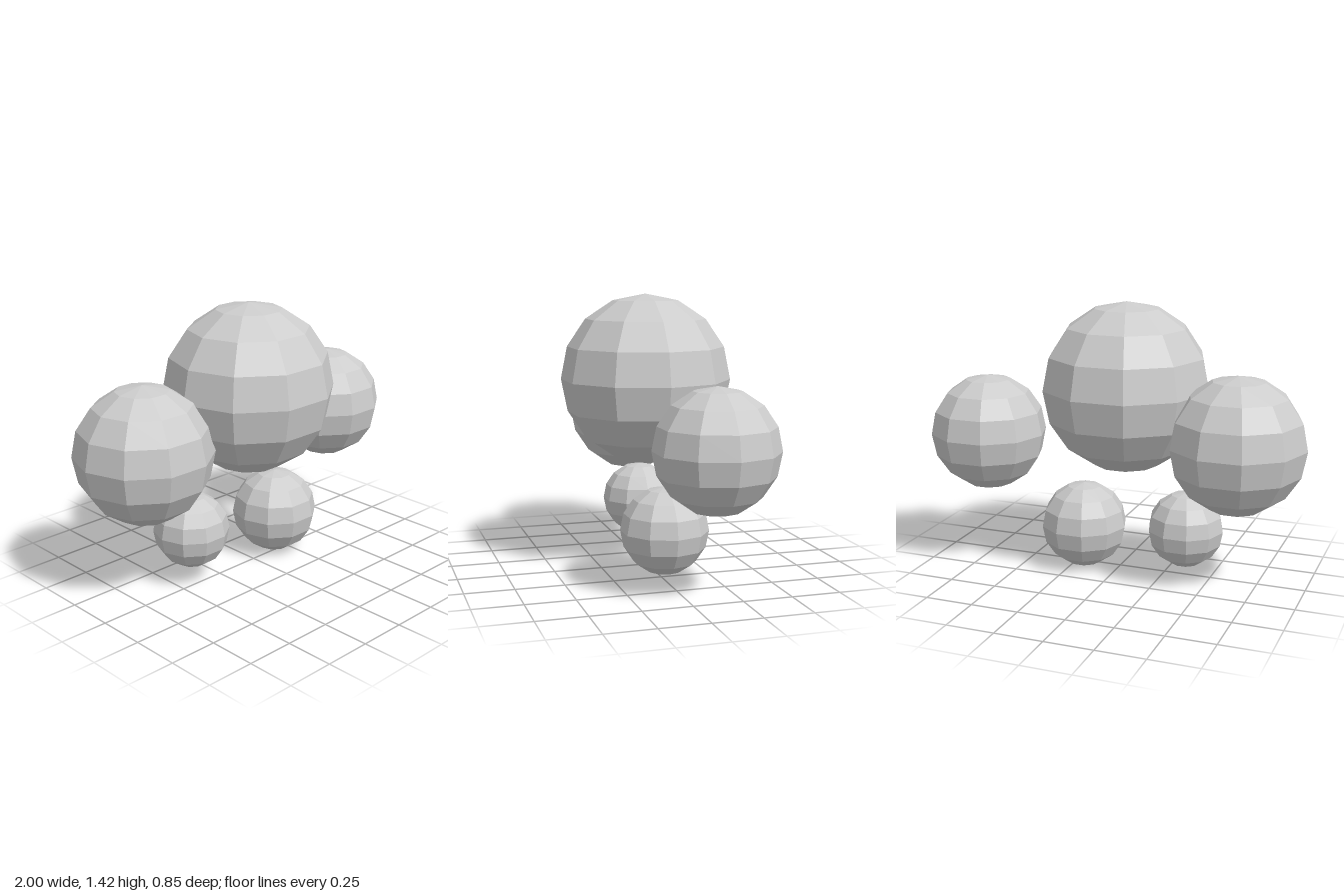
import * as THREE from 'three';

// Each low-poly ball: name, radius, centre
const BALLS = [
  ['largeCentreBall', 0.44, [-0.034, 0.983, 0]],
  ['rightBall', 0.35, [-0.65, 0.753, -0.095]],
  ['leftBall', 0.305, [0.695, 0.715, -0.13]],
  ['lowerRightBall', 0.197, [-0.383, 0.279, -0.065]],
  ['lowerLeftBall', 0.228, [0.192, 0.228, -0.035]],
];

export function createModel() {
  const group = new THREE.Group();
  group.name = 'ballCluster';
  const material = new THREE.MeshStandardMaterial({ color: 0xcccccc, flatShading: true });

  // Ten sides around, eight bands from pole to pole
  for (const [name, radius, centre] of BALLS) {
    const ball = new THREE.Mesh(new THREE.SphereGeometry(radius, 10, 8), material);
    ball.name = name;
    ball.position.set(...centre);
    group.add(ball);
  }
  return group;
}
